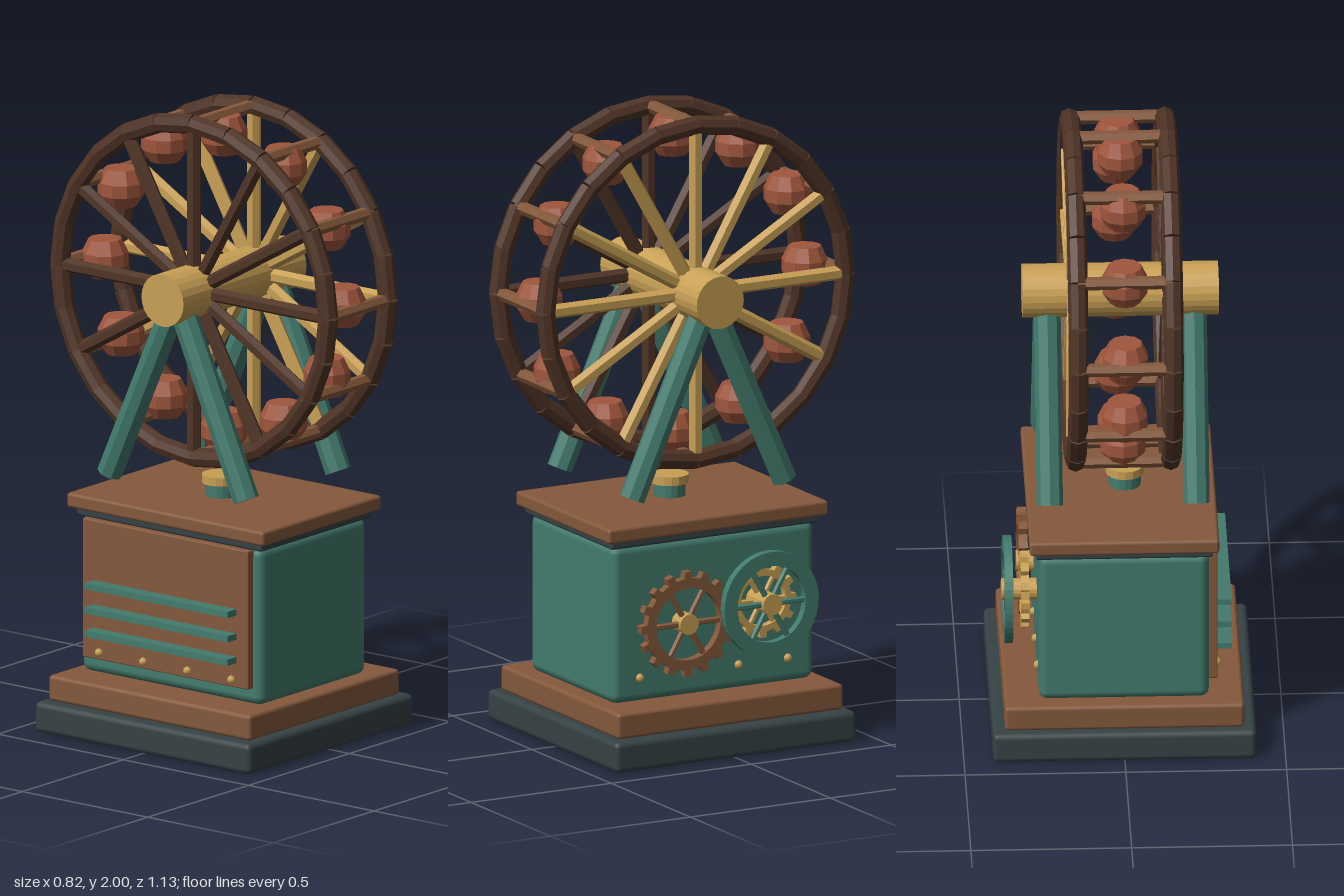
import * as THREE from 'three';
import { RoundedBoxGeometry } from 'three/addons/geometries/RoundedBoxGeometry.js';

const mat = (name, color) => {
  const m = new THREE.MeshStandardMaterial({ color });
  m.name = name;
  return m;
};

// Faceted normals
function flat(geometry) {
  const g = geometry.index ? geometry.toNonIndexed() : geometry;
  g.computeVertexNormals();
  return g;
}

export function createModel() {
  const teal = mat('teal paint', 0x437b6d);
  const brown = mat('brown wood', 0x85593c);
  const dark = mat('dark wood', 0x4f3426);
  const gold = mat('brass', 0xc9a055);
  const rust = mat('rust clay', 0x9f563d);
  const slate = mat('slate', 0x364245);

  const model = new THREE.Group();
  model.name = 'bucketWheelMachine';

  function add(parent, name, geometry, material, x = 0, y = 0, z = 0) {
    const mesh = new THREE.Mesh(geometry, material);
    mesh.name = name;
    mesh.position.set(x, y, z);
    parent.add(mesh);
    return mesh;
  }
  function group(name, x = 0, y = 0, z = 0) {
    const g = new THREE.Group();
    g.name = name;
    g.position.set(x, y, z);
    model.add(g);
    return g;
  }
  // Block given by its bottom and top heights
  function block(name, w, y0, y1, d, r, material, x = 0) {
    return add(model, name, new RoundedBoxGeometry(w, y1 - y0, d, 2, r), material, x, (y0 + y1) / 2);
  }
  // Straight round bar between two points
  function bar(parent, name, a, b, r, sides, material) {
    const from = new THREE.Vector3(...a), to = new THREE.Vector3(...b);
    const dir = to.clone().sub(from);
    const mesh = add(parent, name, flat(new THREE.CylinderGeometry(r, r, dir.length(), sides)), material);
    mesh.position.copy(from).add(to).multiplyScalar(0.5);
    mesh.quaternion.setFromUnitVectors(new THREE.Vector3(0, 1, 0), dir.normalize());
    return mesh;
  }
  // Flat ring facing +x, with optional teeth
  function ring(outer, inner, depth, teeth = 0, root = outer) {
    const points = [];
    if (teeth) {
      for (let i = 0; i < teeth; i++) {
        [[-0.25, root], [-0.17, outer], [0.17, outer], [0.25, root]].forEach(([t, r]) => {
          const a = ((i + t) / teeth) * Math.PI * 2;
          points.push(new THREE.Vector2(Math.cos(a) * r, Math.sin(a) * r));
        });
      }
    }
    const shape = teeth ? new THREE.Shape(points) : new THREE.Shape().absarc(0, 0, outer, 0, Math.PI * 2);
    shape.holes.push(new THREE.Path().absarc(0, 0, inner, 0, Math.PI * 2, true));
    const g = new THREE.ExtrudeGeometry(shape, { depth, bevelEnabled: false, curveSegments: 20 });
    return g.translate(0, 0, -depth / 2).rotateY(Math.PI / 2);
  }
  const polar = (x, r, a) => [x, r * Math.cos(a), r * Math.sin(a)];

  // Base and housing
  block('basePlinth', 0.82, 0, 0.098, 0.86, 0.018, slate);
  block('baseStep', 0.745, 0.098, 0.18, 0.805, 0.012, brown);
  block('housing', 0.53, 0.18, 0.685, 0.72, 0.028, teal);
  block('topTrim', 0.55, 0.68, 0.71, 0.74, 0.008, slate);
  block('topPlate', 0.59, 0.705, 0.752, 0.785, 0.01, brown);

  // Short pipe on the top plate
  add(model, 'pipe', flat(new THREE.CylinderGeometry(0.05, 0.05, 0.05, 16)), teal, -0.015, 0.77);
  add(model, 'pipeCap', flat(new THREE.CylinderGeometry(0.06, 0.06, 0.027, 16)), gold, -0.015, 0.807);

  // Louvred panel on the right-hand wall
  block('sidePanel', 0.03, 0.235, 0.68, 0.66, 0.004, brown, -0.277);
  for (const y of [0.325, 0.4, 0.478]) {
    add(model, 'louvre', new THREE.BoxGeometry(0.05, 0.02, 0.57), teal, -0.312, y);
  }

  // Rivets on both side walls
  for (const x of [-0.292, 0.265]) {
    for (let i = 0; i < 4; i++) {
      add(model, 'rivet', new THREE.SphereGeometry(0.014, 8, 6), gold, x, 0.258, 0.265 - i * 0.176);
    }
  }

  // Large spoked cog
  const cog = group('largeCog', 0.3, 0.422, 0.118);
  add(cog, 'cogRing', ring(0.168, 0.115, 0.028, 16, 0.147), brown);
  for (let i = 0; i < 6; i++) {
    const a = (i * Math.PI) / 3 + Math.PI / 6;
    bar(cog, 'cogSpoke', [0, 0, 0], polar(0, 0.125, a), 0.01, 6, brown);
  }
  bar(cog, 'cogHub', [-0.04, 0, 0], [0.02, 0, 0], 0.033, 16, gold);

  // Small brass cog and the flywheel that covers it
  const fly = group('flywheel', 0.355, 0.465, -0.148);
  add(fly, 'smallCog', ring(0.118, 0.08, 0.026, 12, 0.1), gold, -0.052);
  add(fly, 'flywheelRing', ring(0.168, 0.122, 0.026), teal);
  for (let i = 0; i < 6; i++) {
    const a = (i * Math.PI) / 3 + Math.PI / 6;
    bar(fly, 'flywheelSpoke', [0, 0, 0], polar(0, 0.13, a), 0.01, 6, teal);
    bar(fly, 'smallCogSpoke', [-0.052, 0, 0], polar(-0.052, 0.09, a), 0.009, 6, gold);
  }
  bar(fly, 'flywheelHub', [-0.095, 0, 0], [0.02, 0, 0], 0.034, 16, gold);

  // Bucket wheel
  const wheel = group('bucketWheel', 0, 1.435, 0);
  bar(wheel, 'axle', [-0.305, 0, 0], [0.305, 0, 0], 0.084, 24, gold);
  const R = 0.535;
  for (const x of [-0.148, 0.148]) {
    for (let i = 0; i < 24; i++) {
      const a = (i * Math.PI) / 12;
      bar(wheel, 'rimSegment', polar(x, R, a), polar(x, R, a + Math.PI / 12), 0.031, 8, dark);
    }
    for (let i = 0; i < 12; i++) {
      const a = (i * Math.PI) / 6;
      bar(wheel, 'spoke', polar(x, 0.05, a), polar(x, 0.515, a), 0.023, 6, x > 0 ? gold : dark);
    }
  }

  // Cross bars and upright buckets
  const profile = [[0, -0.061], [0.048, -0.061], [0.073, -0.022], [0.073, 0.018], [0.052, 0.061], [0, 0.061]];
  const bucket = flat(new THREE.LatheGeometry(profile.map(([r, y]) => new THREE.Vector2(r, y)), 10));
  for (let i = 0; i < 12; i++) {
    const a = (i * Math.PI) / 6;
    bar(wheel, 'crossBar', polar(-0.148, R, a), polar(0.148, R, a), 0.021, 6, brown);
    add(wheel, 'bucket', bucket, rust, ...polar(0, 0.474, a));
  }

  // Splayed support legs
  for (const x of [-0.228, 0.228]) {
    for (const s of [-1, 1]) {
      bar(model, 'supportLeg', [x, 1.435, 0], [x, 0.823, s * 0.272], 0.041, 8, teal);
    }
  }

  return model;
}
